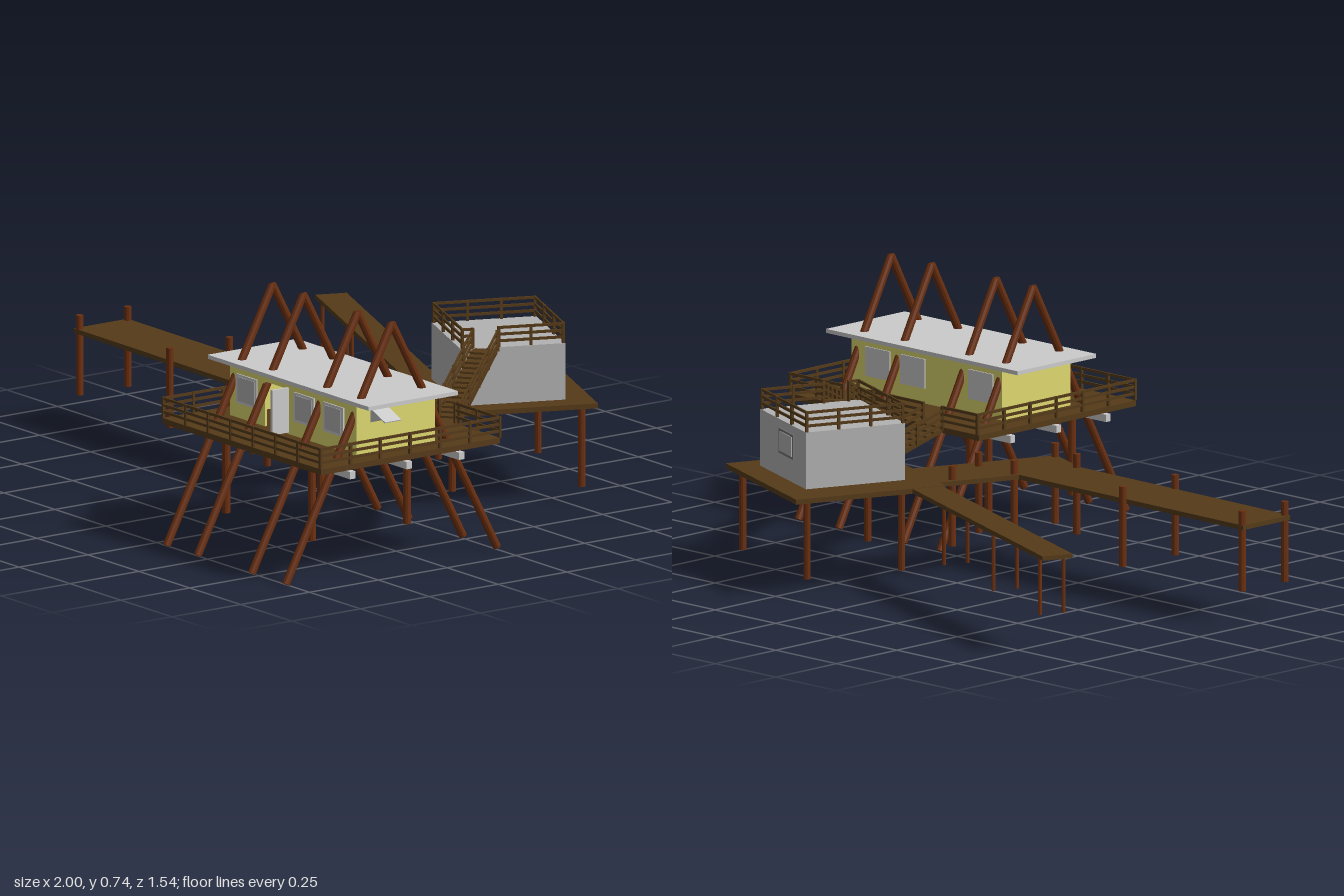
import * as THREE from 'three';

const mat = (color) => new THREE.MeshStandardMaterial({ color, flatShading: true, side: THREE.DoubleSide });
const PLANK = mat(0x553a18), LOG = mat(0x6b3010), YELLOW = mat(0xded870), GREY = mat(0xcccccc), STONE = mat(0xb2b2b2), DARK = mat(0x777777);
const V = (x, y, z) => new THREE.Vector3(x, y, z);

function add(parent, name, geometry, material) {
  const mesh = new THREE.Mesh(geometry, material);
  mesh.name = name;
  parent.add(mesh);
  return mesh;
}

// Box given by its lower and upper limits
function box(parent, name, material, x0, x1, y0, y1, z0, z1) {
  const mesh = add(parent, name, new THREE.BoxGeometry(x1 - x0, y1 - y0, z1 - z0), material);
  mesh.position.set((x0 + x1) / 2, (y0 + y1) / 2, (z0 + z1) / 2);
  return mesh;
}

// Square bar from a to b
function bar(parent, name, material, a, b, w, h = w) {
  const mesh = new THREE.Mesh(new THREE.BoxGeometry(w, h, a.distanceTo(b)), material);
  mesh.name = name;
  mesh.position.copy(a).lerp(b, 0.5);
  mesh.lookAt(b);
  parent.add(mesh);
}

// Round log from a to b
function log(parent, name, a, b, r) {
  const mesh = add(parent, name, new THREE.CylinderGeometry(r, r, a.distanceTo(b), 10), LOG);
  mesh.position.copy(a).lerp(b, 0.5);
  mesh.quaternion.setFromUnitVectors(V(0, 1, 0), b.clone().sub(a).normalize());
}

// Three-rail fence along a straight line
function fence(parent, a, b) {
  const rail = new THREE.Group();
  rail.name = 'railing';
  parent.add(rail);
  for (const h of [0.02, 0.04, 0.06]) {
    bar(rail, 'rail', PLANK, a.clone().setY(a.y + h), b.clone().setY(b.y + h), 0.005, 0.008);
  }
  const n = Math.max(1, Math.round(a.distanceTo(b) / 0.11));
  for (let i = 0; i <= n; i++) {
    const p = a.clone().lerp(b, i / n);
    box(rail, 'railPost', PLANK, p.x - 0.004, p.x + 0.004, p.y, p.y + 0.064, p.z - 0.004, p.z + 0.004);
  }
}

// Sloped stair with treads and a fence on both sides
function stair(parent, name, a, b, width) {
  const g = new THREE.Group();
  g.name = name;
  parent.add(g);
  bar(g, 'stairBase', PLANK, a, b, width, 0.012);
  const side = V(b.z - a.z, 0, a.x - b.x).normalize().multiplyScalar(width / 2);
  for (const s of [-1, 1]) {
    const off = side.clone().multiplyScalar(s);
    fence(g, a.clone().add(off), b.clone().add(off));
  }
  const n = Math.round(a.distanceTo(b) / 0.03);
  for (let i = 1; i < n; i++) {
    const p = a.clone().lerp(b, i / n).setY(a.y + (b.y - a.y) * i / n + 0.007);
    bar(g, 'tread', PLANK, p.clone().add(side), p.clone().sub(side), 0.016, 0.006);
  }
}

function buildHouse() {
  const g = new THREE.Group();
  g.name = 'stiltHouse';
  box(g, 'houseDeck', PLANK, 0.21, 0.99, 0.343, 0.36, 0.05, 0.70);
  for (const z of [0.19, 0.38, 0.585]) box(g, 'deckBeam', GREY, 0.21, 0.99, 0.315, 0.337, z - 0.01, z + 0.01);

  // Deck fence, with openings at the two stairs
  const c = [[0.36, 0.05], [0.215, 0.05], [0.215, 0.70], [0.987, 0.70], [0.987, 0.05], [0.77, 0.05]];
  for (let i = 0; i < 5; i++) fence(g, V(c[i][0], 0.36, c[i][1]), V(c[i + 1][0], 0.36, c[i + 1][1]));
  fence(g, V(0.44, 0.36, 0.05), V(0.69, 0.36, 0.05));

  // Walls, the front one with a doorway
  const front = new THREE.Shape([[0.30, 0.36], [0.47, 0.36], [0.47, 0.495], [0.58, 0.495], [0.58, 0.36], [0.92, 0.36], [0.92, 0.516], [0.30, 0.516]]
    .map(p => new THREE.Vector2(...p)));
  add(g, 'frontWall', new THREE.ExtrudeGeometry(front, { depth: 0.008, bevelEnabled: false }), YELLOW).position.z = 0.512;
  box(g, 'backWall', YELLOW, 0.30, 0.92, 0.36, 0.516, 0.235, 0.243);
  box(g, 'rightWall', YELLOW, 0.30, 0.308, 0.36, 0.516, 0.235, 0.52);
  box(g, 'leftWall', YELLOW, 0.912, 0.92, 0.36, 0.516, 0.235, 0.52);
  box(g, 'openDoor', GREY, 0.58, 0.588, 0.365, 0.50, 0.52, 0.58);
  for (const x of [0.335, 0.615, 0.76]) {
    box(g, 'frontWindow', GREY, x, x + 0.1, 0.405, 0.493, 0.518, 0.524);
    box(g, 'frontPane', STONE, x + 0.01, x + 0.09, 0.413, 0.485, 0.52, 0.526);
    box(g, 'backWindow', GREY, x, x + 0.1, 0.405, 0.493, 0.231, 0.237);
  }
  // End window with a propped shutter
  box(g, 'endWindow', DARK, 0.918, 0.922, 0.455, 0.495, 0.41, 0.47);
  bar(g, 'shutter', GREY, V(0.92, 0.495, 0.44), V(0.992, 0.467, 0.44), 0.06, 0.003);
  box(g, 'roof', GREY, 0.21, 1, 0.514, 0.526, 0.21, 0.535);

  // Tall A-frames and short stilts
  for (const x of [0.315, 0.467, 0.733, 0.9]) {
    for (const z of [-0.005, 0.762]) log(g, 'aFrameLeg', V(x, 0.006, z), V(x, 0.735, 0.378), 0.012);
  }
  for (const x of [0.335, 0.755]) for (const z of [0.215, 0.56]) log(g, 'stilt', V(x, 0.08, z), V(x, 0.343, z), 0.012);
  return g;
}

function buildDock() {
  const g = new THREE.Group();
  g.name = 'dock';

  // Long pier with its bent arm
  const pier = new THREE.Shape([[-1, -0.07], [-0.066, -0.06], [0.03, -0.30], [0.216, -0.225], [0.04, 0.2], [-0.12, 0.138], [-1, 0.125]]
    .map(([x, z]) => new THREE.Vector2(x, -z)));
  add(g, 'pier', new THREE.ExtrudeGeometry(pier, { depth: 0.014, bevelEnabled: false }).rotateX(-Math.PI / 2), PLANK).position.y = 0.29;
  for (const [x, z] of [[-0.987, -0.06], [-0.987, 0.115], [-0.512, -0.078], [-0.512, 0.138], [-0.115, 0.13], [-0.045, -0.06], [0.03, 0.185], [0.03, -0.24], [0.1, -0.06]]) {
    log(g, 'pierPost', V(x, 0.105, z), V(x, 0.345, z), 0.011);
  }

  // Turned platform with a narrow side pier
  const p = new THREE.Group();
  p.name = 'platform';
  p.position.set(0.16, 0, -0.755);
  p.rotation.y = -0.382;
  g.add(p);
  box(p, 'platformDeck', PLANK, 0, 0.523, 0.29, 0.305, 0, 0.475);
  box(p, 'sidePier', PLANK, -0.965, 0, 0.291, 0.304, 0.37, 0.465);
  for (const [x, z] of [[0.06, 0.06], [0.49, 0.04], [0.06, 0.36], [0.45, 0.42]]) log(p, 'platformPost', V(x, 0.05, z), V(x, 0.295, z), 0.011);
  for (const x of [-0.92, -0.575, -0.21]) for (const z of [0.38, 0.455]) log(p, 'sidePierPost', V(x, 0.12, z), V(x, 0.295, z), 0.006);

  // Cabin with a fenced flat roof
  box(p, 'cabin', STONE, 0.115, 0.455, 0.305, 0.475, 0.08, 0.395);
  box(p, 'cabinWindow', DARK, 0.2, 0.31, 0.375, 0.45, 0.076, 0.082);
  box(p, 'cabinWindowPane', STONE, 0.21, 0.3, 0.383, 0.442, 0.074, 0.08);
  const c = [[0.45, 0.28], [0.45, 0.085], [0.12, 0.085], [0.12, 0.39], [0.45, 0.39], [0.45, 0.36]];
  for (let i = 0; i < 5; i++) fence(p, V(c[i][0], 0.473, c[i][1]), V(c[i + 1][0], 0.473, c[i + 1][1]));
  return g;
}

export function createModel() {
  const model = new THREE.Group();
  model.name = 'pierHouse';
  model.add(buildHouse(), buildDock());
  stair(model, 'cabinStair', V(0.73, 0.35, 0.05), V(0.47, 0.47, -0.28), 0.075);
  stair(model, 'dockStair', V(0.4, 0.35, 0.05), V(0.4, 0.297, -0.16), 0.08);
  return model;
}
